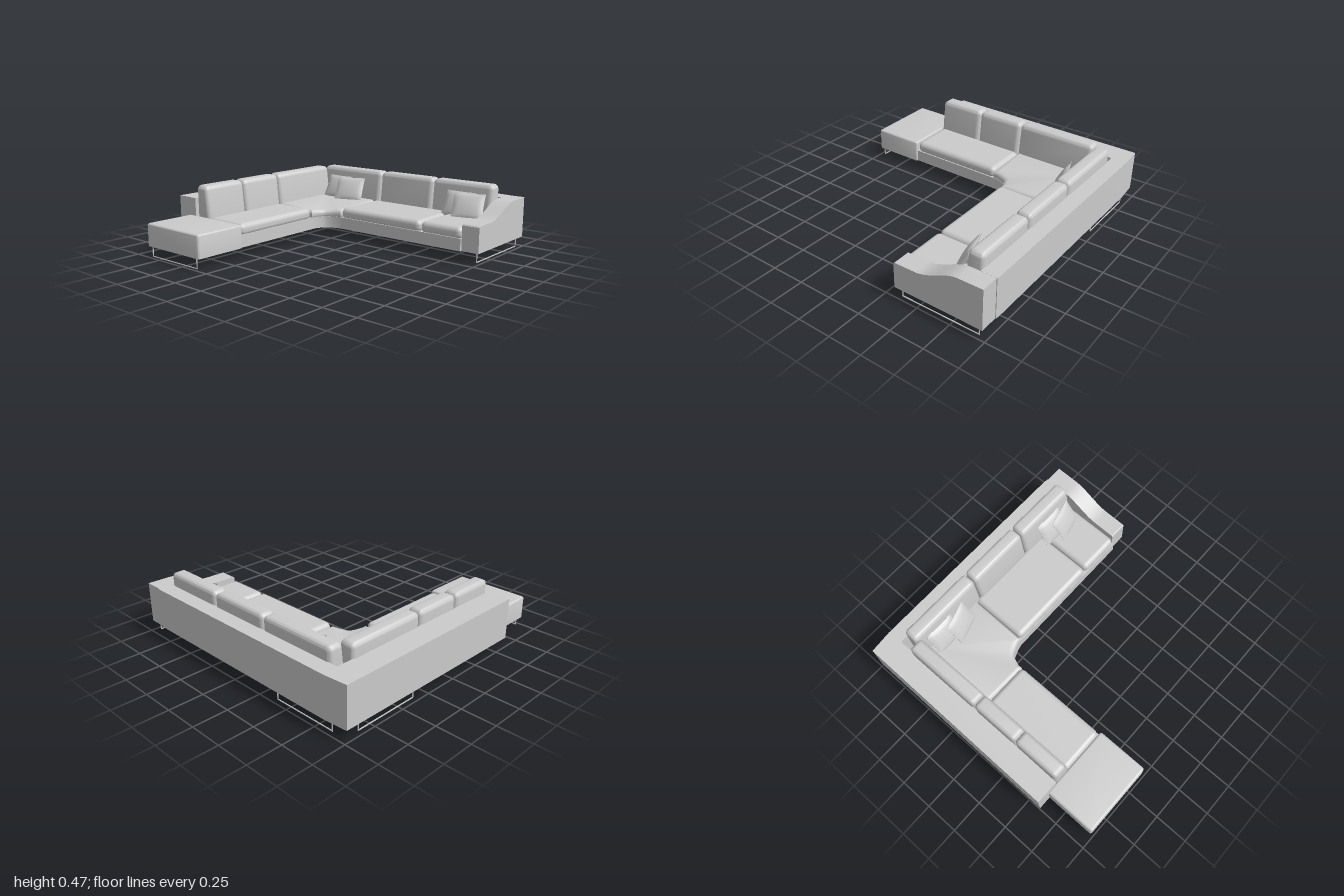
import * as THREE from 'three';
import { toCreasedNormals } from 'three/addons/utils/BufferGeometryUtils.js';
import { RoundedBoxGeometry } from 'three/addons/geometries/RoundedBoxGeometry.js';

const grey = new THREE.MeshStandardMaterial({ color: 0xcccccc, side: THREE.DoubleSide });
const BASE = 0.075, SEAT = 0.15, TOP = 0.24;

function add(parent, name, geometry) {
  const mesh = new THREE.Mesh(geometry, grey);
  mesh.name = name;
  parent.add(mesh);
  return mesh;
}

// Shape on the ground plane from [x, z] points
const plan = pts => new THREE.Shape(pts.map(([x, z]) => new THREE.Vector2(x, -z)));
const rect = (x0, x1, z0, z1) => [[x0, z0], [x0, z1], [x1, z1], [x1, z0]];

// Removes every face at or below the base line, leaving a shell open underneath
function openBelow(g) {
  const p = g.attributes.position, kept = [];
  for (let i = 0; i < p.count; i += 3) {
    if ((p.getY(i) + p.getY(i + 1) + p.getY(i + 2)) / 3 < BASE + 1e-4) continue;
    for (let j = i; j < i + 3; j++) kept.push(p.getX(j), p.getY(j), p.getZ(j));
  }
  const shell = new THREE.BufferGeometry();
  shell.setAttribute('position', new THREE.Float32BufferAttribute(kept, 3));
  return toCreasedNormals(shell, 0.5);
}

// Upright prism over a ground shape, with rounded edges if r is above zero
function prism(shape, y0, y1, r = 0) {
  const g = new THREE.ExtrudeGeometry(shape, {
    depth: y1 - y0 - 2 * r, bevelEnabled: r > 0,
    bevelThickness: r, bevelSize: r, bevelOffset: -r, bevelSegments: 5,
  });
  return g.rotateX(-Math.PI / 2).translate(0, y0 + r, 0);
}

// Rounded block given by its limits
function block(x0, x1, y0, y1, z0, z1, r) {
  return new RoundedBoxGeometry(x1 - x0, y1 - y0, z1 - z0, 4, r)
    .translate((x0 + x1) / 2, (y0 + y1) / 2, (z0 + z1) / 2);
}

// Back cushion running along x, thinner towards the top; its rear face is at z = 0
function backCushion(length) {
  const h = 0.3, d = 0.145;
  const g = new RoundedBoxGeometry(length, h, d, 4, 0.035).translate(0, h / 2, d / 2);
  const p = g.attributes.position;
  for (let i = 0; i < p.count; i++) p.setZ(i, p.getZ(i) * (1 - 0.25 * p.getY(i) / h));
  g.computeVertexNormals();
  return toCreasedNormals(g, 0.7);
}

// Throw pillow: a grid box swollen in the middle, with slightly pinched edges
function pillowGeometry(w, h, t) {
  const g = new THREE.BoxGeometry(2, 2, 2, 12, 12, 1);
  const p = g.attributes.position;
  for (let i = 0; i < p.count; i++) {
    const u = p.getX(i), v = p.getY(i);
    const swell = Math.sqrt((1 - u * u) * (1 - v * v)) + 0.06;
    p.setXYZ(i, u * w / 2 * (1 - 0.03 * (1 - v * v)), v * h / 2 * (1 - 0.03 * (1 - u * u)),
      p.getZ(i) * t / 2 * swell);
  }
  g.computeVertexNormals();
  return g;
}

// Thin U-shaped runner between two ground points
function runner(parent, name, [xa, za], [xb, zb]) {
  const s = 0.006, group = new THREE.Group();
  group.name = name;
  for (const [x, z] of [[xa, za], [xb, zb]])
    add(group, 'post', new THREE.BoxGeometry(s, BASE, s).translate(x, BASE / 2, z));
  add(group, 'footBar', new THREE.BoxGeometry(Math.abs(xb - xa) + s, s, Math.abs(zb - za) + s)
    .translate((xa + xb) / 2, s / 2, (za + zb) / 2));
  parent.add(group);
}

export function createModel() {
  const sofa = new THREE.Group();
  sofa.name = 'cornerSofa';

  // Outer walls, a shell open underneath
  add(sofa, 'wall', openBelow(prism(plan([
    [-0.99, -0.975], [-0.82, -0.988], [0.82, -0.988], [0.865, -0.985], [0.865, -0.87],
    [-0.81, -0.87], [-0.825, 0.605], [-1, 0.605],
  ]), BASE, 0.373)));

  // Sloping right arm, profile in z and y
  const arm = new THREE.Shape();
  arm.moveTo(0.322, BASE);
  arm.lineTo(0.98, BASE);
  arm.lineTo(0.98, 0.373);
  arm.lineTo(0.8, 0.37);
  arm.bezierCurveTo(0.7, 0.365, 0.6, 0.27, 0.49, 0.268);
  arm.lineTo(0.33, 0.265);
  arm.lineTo(0.322, 0.257);
  const armGeo = new THREE.ExtrudeGeometry(arm, { depth: 0.132, bevelEnabled: false, curveSegments: 16 });
  add(sofa, 'arm', openBelow(armGeo.rotateY(Math.PI / 2).translate(0.865, 0, 0)));

  // Straight seats: open base with a cushion on top
  const seats = [
    ['middleSeat', -0.2, 0.53, -0.76, -0.305],
    ['rightSeat', 0.53, 0.865, -0.76, -0.305],
    ['leftSeat', -0.71, -0.355, -0.145, 0.59],
  ];
  for (const [name, x0, x1, z0, z1] of seats) {
    add(sofa, name + 'Base', openBelow(prism(plan(rect(x0, x1, z0, z1)), BASE, SEAT + 0.015)));
    add(sofa, name + 'Cushion', block(x0 + 0.002, x1 - 0.002, SEAT, TOP, z0, z1 - 0.002, 0.038));
  }

  // Corner seat with a bent inner edge
  const corner = plan([
    [-0.2, -0.76], [-0.2, -0.305], [-0.245, -0.295], [-0.31, -0.268], [-0.33, -0.245],
    [-0.355, -0.18], [-0.355, -0.145], [-0.71, -0.145], [-0.71, -0.76],
  ]);
  add(sofa, 'cornerSeatBase', openBelow(prism(corner, BASE, SEAT + 0.015)));
  const cornerGeo = prism(corner, SEAT, TOP, 0.035);
  // The cushion sinks towards the inner bend
  const cp = cornerGeo.attributes.position;
  for (let i = 0; i < cp.count; i++) {
    const near = Math.hypot(cp.getX(i) + 0.3, cp.getZ(i) + 0.25);
    const drop = 0.03 * Math.max(0, 1 - near / 0.25) * (cp.getY(i) - SEAT) / (TOP - SEAT);
    cp.setY(i, cp.getY(i) - drop);
  }
  add(sofa, 'cornerSeatCushion', toCreasedNormals(cornerGeo, 0.7));

  // Back cushions along the rear and the left wall
  for (const [a, b] of [[-0.755, -0.155], [-0.15, 0.34], [0.345, 0.85]])
    add(sofa, 'rearBackCushion', backCushion(b - a)).position.set((a + b) / 2, 0.17, -0.875);
  for (const [a, b] of [[-0.755, -0.145], [-0.14, 0.228], [0.232, 0.595]]) {
    const m = add(sofa, 'leftBackCushion', backCushion(b - a));
    m.position.set(-0.822, 0.17, (a + b) / 2);
    m.rotation.y = Math.PI / 2;
  }

  // Ottoman at the end of the left side: rounded top and corners, open underneath
  const footprint = new THREE.Shape();
  const [ox0, ox1, oz0, oz1, c] = [-0.902, -0.343, 0.59, 0.983, 0.018];
  footprint.absarc(ox1 - c, -oz0 - c, c, 0, Math.PI / 2);
  footprint.absarc(ox0 + c, -oz0 - c, c, Math.PI / 2, Math.PI);
  footprint.absarc(ox0 + c, -oz1 + c, c, Math.PI, Math.PI * 1.5);
  footprint.absarc(ox1 - c, -oz1 + c, c, Math.PI * 1.5, Math.PI * 2);
  const round = 0.016;
  add(sofa, 'ottoman', openBelow(prism(footprint, BASE - round, TOP, round)));

  // Throw pillows leaning on the rear cushions
  const pillow = pillowGeometry(0.235, 0.205, 0.045);
  for (const [x, z, yaw] of [[-0.555, -0.7, 0], [-0.41, -0.675, 0.3], [0.605, -0.7, 0], [0.71, -0.665, 0.27]]) {
    const m = add(sofa, 'throwPillow', pillow);
    m.position.set(x, 0.313, z);
    m.rotation.set(-0.5, yaw, 0, 'YXZ');
  }

  // Runner legs
  runner(sofa, 'ottomanRunner', [-0.86, 0.97], [-0.38, 0.97]);
  runner(sofa, 'rearRunner', [-0.86, -0.96], [-0.38, -0.96]);
  runner(sofa, 'leftRunner', [-0.96, -0.85], [-0.96, -0.36]);
  runner(sofa, 'armRunner', [0.965, -0.94], [0.965, -0.36]);
  return sofa;
}
